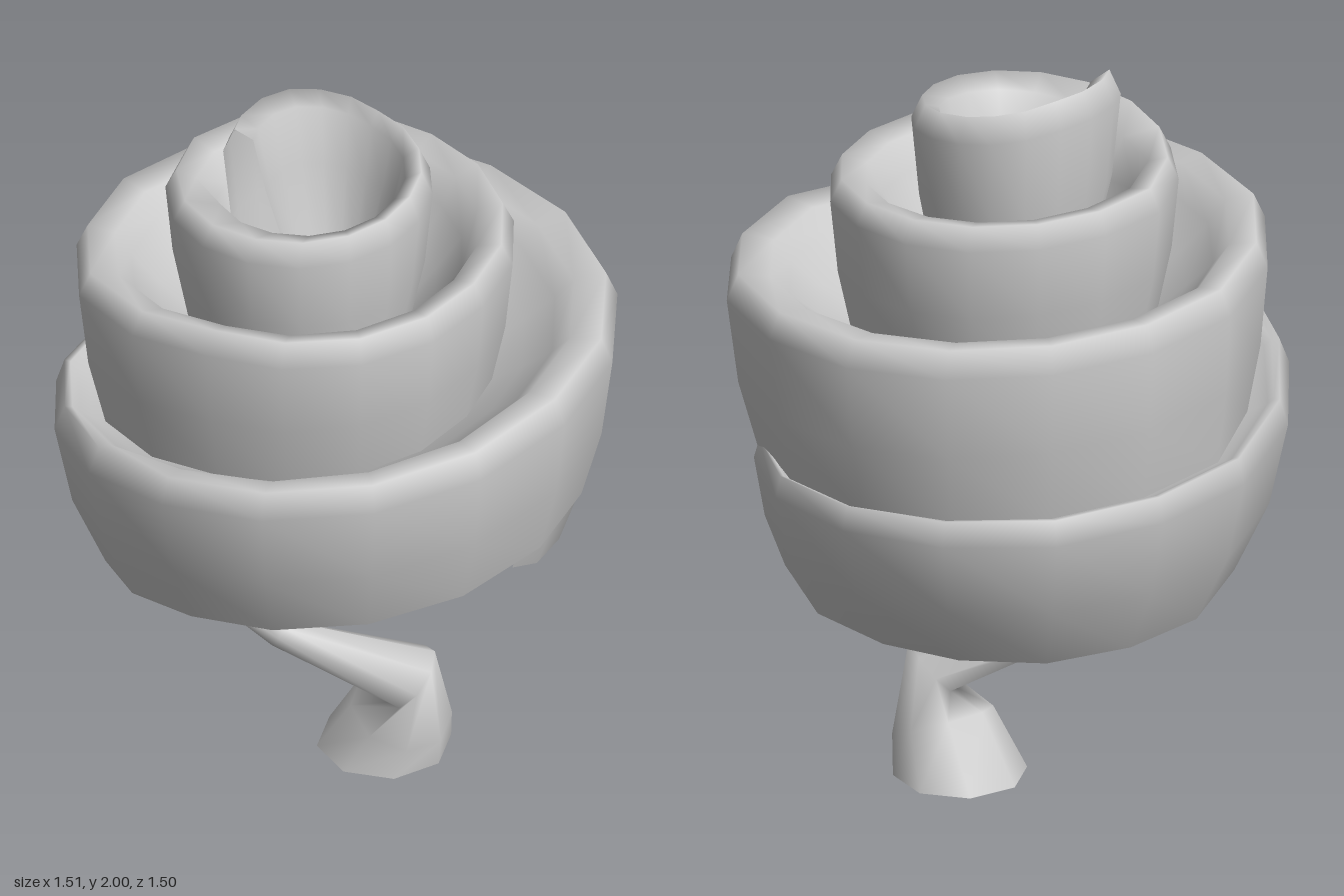
import * as THREE from 'three';

const material = new THREE.MeshStandardMaterial({ color: 0xcccccc, side: THREE.DoubleSide });

// Skin a list of cross-sections (arrays of Vector3) into one smooth surface
function loft(name, rings, closed) {
  const pos = [], idx = [], n = rings[0].length;
  rings.forEach(r => r.forEach(p => pos.push(p.x, p.y, p.z)));
  for (let i = 0; i < rings.length - 1; i++) {
    for (let j = 0; j < (closed ? n : n - 1); j++) {
      const a = i * n + j, b = i * n + (j + 1) % n;
      idx.push(a, a + n, b, b, a + n, b + n);
    }
  }
  const geometry = new THREE.BufferGeometry();
  geometry.setAttribute('position', new THREE.Float32BufferAttribute(pos, 3));
  geometry.setIndex(idx);
  geometry.computeVertexNormals();
  const mesh = new THREE.Mesh(geometry, material);
  mesh.name = name;
  return mesh;
}

// Spiral stations: angle, outer radius, top, bottom radius, bottom
const START = 12, END = 1297;
const stations = [
  [START, 0.565, 0.95, 0.52, 0.74],
  [35, 0.66, 0.975, 0.595, 0.645],
  [55, 0.71, 0.99, 0.61, 0.585],
  [90, 0.75, 1.01, 0.57, 0.555],
  [135, 0.775, 1.04, 0.60, 0.56],
  [180, 0.755, 1.08, 0.60, 0.58],
  [225, 0.735, 1.18, 0.60, 0.67],
  [270, 0.75, 1.29, 0.62, 0.785],
  [315, 0.765, 1.37, 0.66, 0.87],
  [360, 0.76, 1.44, 0.68, 0.94],
  [405, 0.757, 1.46, 0.67, 0.945],
  [450, 0.73, 1.48, 0.66, 0.96],
  [540, 0.71, 1.55, 0.67, 1.05],
  [585, 0.67, 1.60, 0.60, 1.12],
  [630, 0.55, 1.65, 0.50, 1.17],
  [675, 0.535, 1.68, 0.47, 1.22],
  [720, 0.495, 1.70, 0.44, 1.26],
  [810, 0.47, 1.73, 0.41, 1.29],
  [900, 0.48, 1.78, 0.42, 1.35],
  [945, 0.42, 1.81, 0.37, 1.38],
  [990, 0.37, 1.84, 0.32, 1.40],
  [1080, 0.285, 1.89, 0.22, 1.42],
  [1170, 0.235, 1.94, 0.19, 1.45],
  [1245, 0.25, 2.00, 0.20, 1.48],
  [END, 0.285, 2.00, 0.22, 1.50],
];

function stationAt(angle) {
  let i = 0;
  while (i < stations.length - 2 && angle > stations[i + 1][0]) i++;
  const a = stations[i], b = stations[i + 1], t = (angle - a[0]) / (b[0] - a[0]);
  return a.map((v, k) => v + (b[k] - v) * t);
}

// Cross-section: bulging outer wall, rounded rim, floor sloping to the foot of the next coil
function ribbonSection(angle) {
  const [, r, top, rb, bottom] = stationAt(angle);
  const [nextRadius, nextBottom] = angle + 360 <= END ? stationAt(angle + 360).slice(3) : [0.06, 1.42];
  const ri = Math.min(nextRadius, r - 0.07), yi = Math.min(nextBottom, top - 0.015);
  const h = top - bottom, w = r - ri, drop = top - yi;
  const profile = [
    [rb, bottom],
    [rb + (r - rb) * 0.65, bottom + h * 0.4],
    [r, bottom + h * 0.86],
    [r - Math.min(0.03, w * 0.2), top],
    [r - w * 0.35, top - drop * 0.06],
    [r - w * 0.5, top - drop * 0.35],
    [r - w * 0.75, top - drop * 0.7],
    [ri, yi],
  ];
  const t = THREE.MathUtils.degToRad(angle);
  return profile.map(([q, y]) => new THREE.Vector3(q * Math.cos(t), y, -q * Math.sin(t)));
}

// Tapering, bending limb; each point is x, y, z, radius
function limb(name, points, sides) {
  const v = points.map(p => new THREE.Vector3(p[0], p[1], p[2]));
  const up = new THREE.Vector3(0, 1, 0);
  const rings = points.map((p, i) => {
    const before = v[Math.max(i - 1, 0)], after = v[Math.min(i + 1, v.length - 1)];
    // A ring on the ground lies flat
    const dir = p[1] === 0 ? up : after.clone().sub(before).normalize();
    const q = new THREE.Quaternion().setFromUnitVectors(up, dir);
    return Array.from({ length: sides }, (_, j) => {
      const a = (j / sides) * Math.PI * 2;
      return new THREE.Vector3(Math.cos(a) * p[3], 0, Math.sin(a) * p[3]).applyQuaternion(q).add(v[i]);
    });
  });
  return loft(name, rings, true);
}

export function createModel() {
  const group = new THREE.Group();
  group.name = 'spiralTree';

  // Spiral crown
  const angles = [START];
  for (let a = 22.5; a < END - 5; a += 22.5) angles.push(a);
  angles.push(END);
  group.add(loft('spiralCrown', angles.map(ribbonSection), false));

  // Crooked trunk
  group.add(limb('trunk', [
    [0.085, 0, -0.115, 0.178],
    [0.145, 0.13, -0.11, 0.138],
    [0.20, 0.27, -0.085, 0.095],
    [-0.10, 0.39, 0.10, 0.04],
    [-0.18, 0.47, 0.16, 0.035],
    [-0.15, 0.61, 0.13, 0.028],
    [-0.07, 0.70, 0.06, 0.025],
    [0.03, 0.755, 0, 0.02],
  ], 8));

  // Branches reaching into the crown
  group.add(limb('sideBranch', [
    [0.0, 0.74, 0.01, 0.022],
    [0.14, 0.76, -0.06, 0.016],
    [0.28, 0.75, -0.12, 0.016],
    [0.36, 0.88, -0.14, 0.01],
  ], 6));
  group.add(limb('frontBranch', [
    [0.01, 0.74, 0.0, 0.022],
    [0.01, 0.81, 0.15, 0.016],
    [0.0, 0.95, 0.31, 0.01],
  ], 6));

  return group;
}
